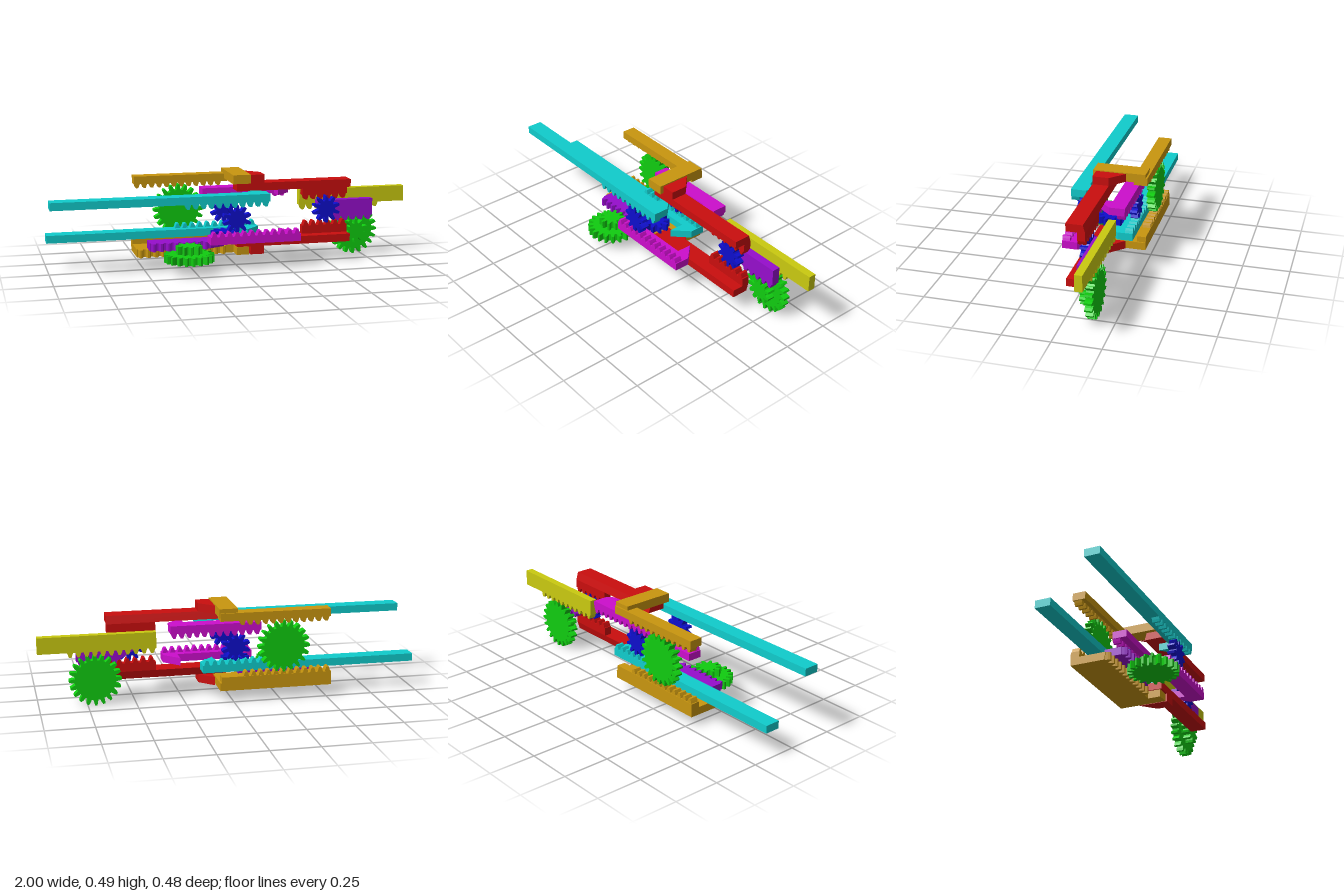
import * as THREE from 'three';

const mat = (name, color) => {
  const m = new THREE.MeshStandardMaterial({ color });
  m.name = name;
  return m;
};

export function createModel() {
  const root = new THREE.Group();
  root.name = 'rackAndGearMechanism';
  const cyan = mat('cyan', 0x10cccc), orange = mat('orange', 0xc9960f), green = mat('green', 0x10cc10);
  const red = mat('red', 0xca0e0e), blue = mat('blue', 0x0e0ecc), magenta = mat('magenta', 0xcc0ecc);
  const purple = mat('purple', 0x960ecc), yellow = mat('yellow', 0xcaca10);

  const group = (name) => {
    const g = new THREE.Group();
    g.name = name;
    root.add(g);
    return g;
  };
  const add = (parent, name, geo, m) => {
    const mesh = new THREE.Mesh(geo, m);
    mesh.name = name;
    parent.add(mesh);
  };
  const extrude = (shapes, depth) => new THREE.ExtrudeGeometry(shapes, { depth, bevelEnabled: false });
  const poly = (pts) => new THREE.Shape(pts.map(([x, y]) => new THREE.Vector2(x, y)));
  // Outline in x/y, standing between two z values
  const upright = (shapes, z0, z1) => extrude(shapes, z1 - z0).translate(0, 0, z0);
  // Outline in x/z, lying between two y values
  const flat = (pts, y0, y1) =>
    extrude([].concat(pts[0] instanceof THREE.Shape ? pts : poly(pts.map(([x, z]) => [x, -z]))), y1 - y0)
      .rotateX(-Math.PI / 2).translate(0, y0, 0);
  const box = (x0, x1, y0, y1, z0, z1) =>
    new THREE.BoxGeometry(x1 - x0, y1 - y0, z1 - z0).translate((x0 + x1) / 2, (y0 + y1) / 2, (z0 + z1) / 2);

  // Row of teeth as trapezoids; dir +1 points up, -1 points down
  const PITCH = 0.041;
  const teeth = (x0, x1, base, dir, height = 0.025) => {
    const n = Math.floor((x1 - x0) / PITCH + 0.3), step = (x1 - x0) / n, out = [];
    for (let i = 0; i < n; i++) {
      const c = x0 + (i + 0.5) * step, t = base + dir * height, m = base + dir * height * 0.5;
      const p = [[c - 0.015, base], [c + 0.015, base], [c + 0.011, m], [c + 0.006, t], [c - 0.006, t], [c - 0.011, m]];
      out.push(poly(dir > 0 ? p : p.reverse()));
    }
    return out;
  };
  // Toothed wheel outline
  const gearShape = (cx, cy, n, outer, inner) => {
    const pts = [], a = (2 * Math.PI) / n, mid = (outer + inner) / 2;
    for (let i = 0; i < n; i++) {
      for (const [f, r] of [[-0.34, inner], [-0.25, mid], [-0.13, outer], [0.13, outer], [0.25, mid], [0.34, inner]]) {
        const t = (i + f) * a + Math.PI / 2;
        pts.push([cx + r * Math.cos(t), cy + r * Math.sin(t)]);
      }
    }
    return poly(pts);
  };

  // Cyan and magenta sliders: bar, sloped hook towards the middle, teeth facing the gear
  const slider = (name, m, x0, x1, toothX0, side, upper) => {
    const g = group(name);
    const y0 = upper ? 0.365 : 0.145, y1 = y0 + 0.041;
    const off = side > 0 ? 0 : -0.034;
    const z = (v) => side * v + off;
    const pts = [[x0, z(0.15)], [x1, z(0.15)], [x1, z(0.068)], [x1 - 0.08, z(-0.013)], [x1 - 0.08, z(0.068)], [x0, z(0.068)]];
    add(g, 'bar', flat(pts, y0, y1), m);
    const zs = [z(0.108), z(0.15)].sort((a, b) => a - b);
    add(g, 'teeth', upright(teeth(toothX0, x1, upper ? y0 : y1, upper ? -1 : 1), zs[0], zs[1]), m);
  };
  slider('upperFrontSlider', cyan, -1, 0.15, -0.31, 1, true);
  slider('lowerBackSlider', cyan, -1, 0.15, -0.31, -1, false);
  slider('lowerFrontSlider', magenta, -0.17, 0.32, -0.17, 1, false);
  slider('upperBackSlider', magenta, -0.16, 0.32, -0.16, -1, true);

  // Red sliders, mirrored about the height of the blue gears
  for (const [name, s] of [['upperCentreSlider', 1], ['lowerCentreSlider', -1]]) {
    const g = group(name);
    const y = (v) => 0.275 + s * (v - 0.275);
    const span = (a, b) => [y(a), y(b)].sort((p, q) => p - q);
    // Bar with one sloping side, drawn as a z/y section and swept along x
    const section = poly([[0.033, y(0.405)], [0.033, y(0.447)], [-0.055, y(0.447)], [-0.067, y(0.405)]].map(([z, v]) => [-z, v]));
    add(g, 'bar', extrude(section, 0.635).rotateY(Math.PI / 2), red);
    add(g, 'rackBlock', box(0.38, 0.635, ...span(0.36, 0.405), -0.067, -0.025), red);
    add(g, 'teeth', upright(teeth(0.38, 0.635, y(0.36), -s), -0.067, -0.025), red);
    add(g, 'hook', flat([[0.075, 0.033], [0.15, 0.033], [0.15, -0.055], [0.075, -0.128]], ...span(0.447, 0.491)), red);
  }

  // Upper orange rack with its crosspiece
  const up = group('upperOutputRack');
  add(up, 'bar', box(-0.52, 0.068, 0.431, 0.473, -0.24, -0.168), orange);
  add(up, 'crosspiece', box(-0.025, 0.072, 0.447, 0.495, -0.231, 0.05), orange);
  add(up, 'teeth', upright(teeth(-0.52, -0.03, 0.431, -1), -0.233, -0.19), orange);

  // Lower orange plate: teeth along the front edge and a rack along the back
  const low = group('lowerOutputPlate');
  add(low, 'plate', flat([[-0.53, -0.045], [0.0, -0.045], [0.0, 0.025], [0.068, 0.025], [0.068, -0.235], [-0.53, -0.235]], 0.058, 0.1), orange);
  add(low, 'frontTeeth', flat(teeth(-0.53, -0.04, 0.045, -1), 0.058, 0.1), orange);
  add(low, 'rackBlock', box(-0.53, 0.06, 0.1, 0.131, -0.235, -0.187), orange);
  add(low, 'rackTeeth', upright(teeth(-0.53, -0.05, 0.131, 1), -0.233, -0.19), orange);

  // Purple carriers with a tapered end beside their blue gear
  const flatCarrier = group('flatCarrier');
  add(flatCarrier, 'bar', flat([[-0.47, 0.018], [-0.14, 0.018], [-0.06, -0.02], [-0.06, -0.076], [-0.47, -0.076]], 0.101, 0.143), purple);
  add(flatCarrier, 'teeth', flat(teeth(-0.47, -0.15, -0.018, -1), 0.101, 0.143), purple);
  const uprightCarrier = group('uprightCarrier');
  add(uprightCarrier, 'bar', upright(poly([[0.58, 0.225], [0.8, 0.225], [0.8, 0.317], [0.48, 0.317], [0.48, 0.285]]), -0.114, -0.071), purple);
  add(uprightCarrier, 'teeth', upright(teeth(0.58, 0.8, 0.225, -1), -0.114, -0.071), purple);

  // Yellow rack
  const out = group('yellowRack');
  add(out, 'bar', box(0.39, 1, 0.288, 0.374, -0.157, -0.117), yellow);
  add(out, 'teeth', upright(teeth(0.39, 0.855, 0.288, -1), -0.157, -0.117), yellow);

  // Upright gears: name, colour, x, y, teeth, outer and root radius, z range
  const gears = [
    ['frontPinion', blue, -0.027, 0.277, 10, 0.076, 0.046, 0.108, 0.149],
    ['backPinion', blue, -0.027, 0.277, 10, 0.076, 0.046, -0.181, -0.14],
    ['centrePinion', blue, 0.52, 0.277, 10, 0.076, 0.046, -0.067, -0.025],
    ['backLargeGear', green, -0.273, 0.28, 20, 0.138, 0.108, -0.233, -0.19],
    ['sideLargeGear', green, 0.708, 0.136, 20, 0.136, 0.106, -0.157, -0.117],
    ['sideSmallGear', green, 0.708, 0.136, 10, 0.07, 0.044, -0.117, -0.073],
  ];
  for (const [name, m, x, y, n, ro, ri, z0, z1] of gears) add(root, name, upright(gearShape(x, y, n, ro, ri), z0, z1), m);

  // Flat gears: name, colour, x, z, teeth, outer and root radius, y range
  const flatGears = [
    ['flatPinion', blue, -0.055, -0.02, 10, 0.076, 0.046, 0.146, 0.187],
    ['flatLargeGear', green, -0.278, 0.107, 20, 0.133, 0.105, 0.058, 0.1],
    ['flatSmallGear', green, -0.278, 0.107, 10, 0.07, 0.044, 0.1, 0.143],
  ];
  for (const [name, m, x, z, n, ro, ri, y0, y1] of flatGears) add(root, name, flat([gearShape(x, -z, n, ro, ri)], y0, y1), m);

  return root;
}
